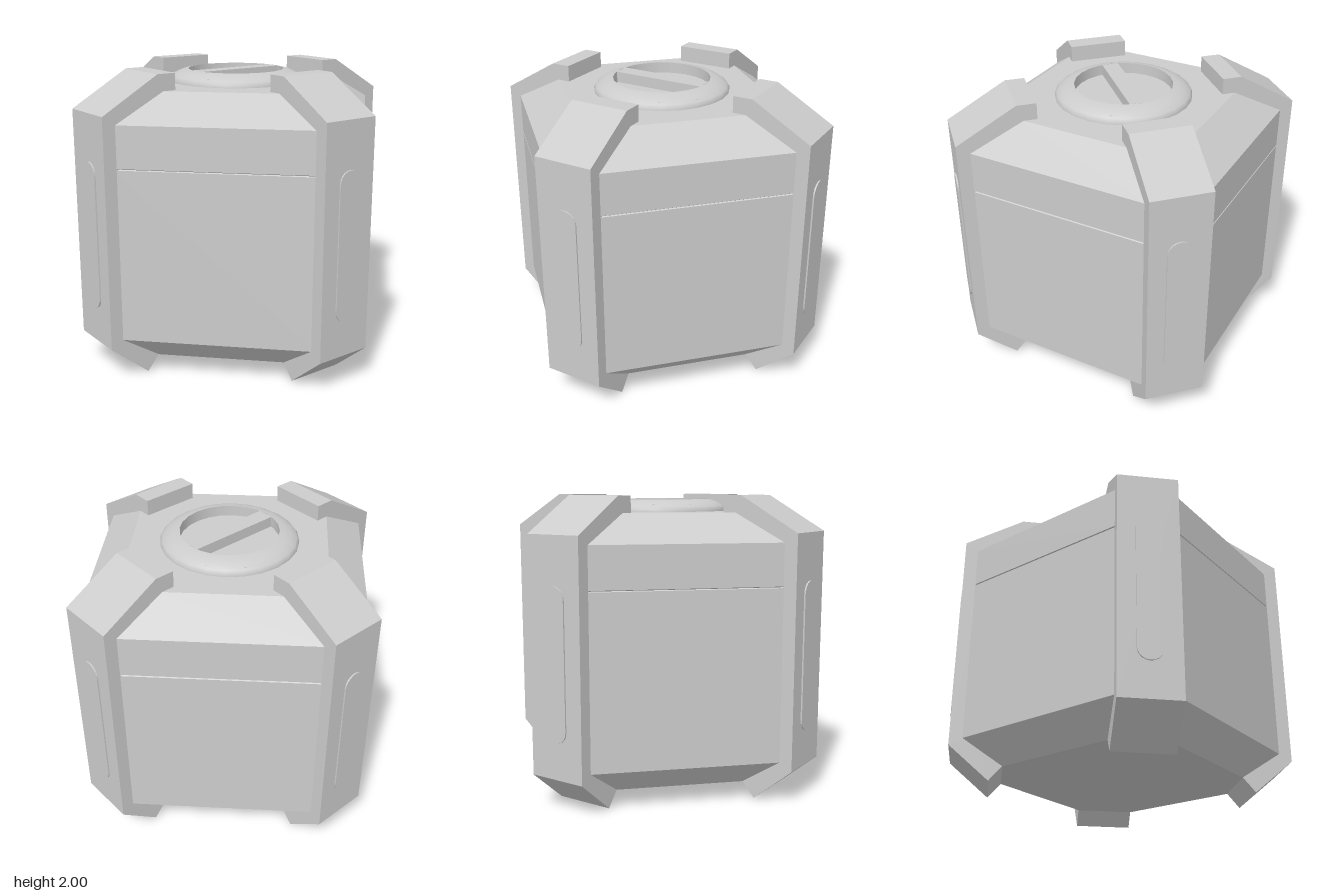
import * as THREE from 'three';

const grey = new THREE.MeshStandardMaterial({ color: 0xcccccc });
const flat = new THREE.MeshStandardMaterial({ color: 0xcccccc, flatShading: true });

function part(name, geometry, material = flat) {
  const mesh = new THREE.Mesh(geometry, material);
  mesh.name = name;
  return mesh;
}

// Square cross-section with cut corners, hidden under the corner braces
function ring(half, y) {
  const c = half - 0.25;
  return [[half, -c], [half, c], [c, half], [-c, half], [-half, c], [-half, -c], [-c, -half], [c, -half]]
    .map(([x, z]) => new THREE.Vector3(x, y, z));
}

function bodyGeometry() {
  // [half width, height] from the bottom to the top, with a fine lid seam
  const rings = [[0.71, 0.1], [0.9, 0.28], [0.9, 1.425], [0.892, 1.43], [0.9, 1.435], [0.9, 1.71], [0.65, 1.89]]
    .map(([half, y]) => ring(half, y));
  const points = [];
  for (let k = 0; k < rings.length - 1; k++) {
    for (let i = 0; i < 8; i++) {
      const j = (i + 1) % 8;
      const a = rings[k][i], b = rings[k][j], c = rings[k + 1][j], d = rings[k + 1][i];
      points.push(a, d, c, a, c, b);
    }
  }
  const bottom = rings[0], top = rings[rings.length - 1];
  for (let i = 1; i < 7; i++) {
    points.push(bottom[0], bottom[i], bottom[i + 1]);
    points.push(top[0], top[i + 1], top[i]);
  }
  const geometry = new THREE.BufferGeometry().setFromPoints(points);
  geometry.computeVertexNormals();
  return geometry;
}

// Brace outline: x is the distance from the centre axis along the diagonal
function braceGeometry() {
  const outline = [[0.63, 1.86], [0.63, 2], [0.76, 2], [1.16, 1.77], [1.16, 0.23],
    [0.89, 0], [0.79, 0.118], [1.0, 0.3], [1.0, 1.68], [0.72, 1.84]];
  const shape = new THREE.Shape(outline.map(([x, y]) => new THREE.Vector2(x, y)));
  return new THREE.ExtrudeGeometry(shape, { depth: 0.4, bevelEnabled: false }).translate(0, 0, -0.2);
}

// Long round-ended plate lying on the outer face of a brace
function plateGeometry() {
  const r = 0.082, shape = new THREE.Shape();
  shape.absarc(0, 1.46 - r, r, 0, Math.PI, false);
  shape.absarc(0, 0.47 + r, r, Math.PI, Math.PI * 2, false);
  return new THREE.ExtrudeGeometry(shape, { depth: 0.03, bevelEnabled: false, curveSegments: 5 })
    .rotateY(Math.PI / 2).translate(1.14, 0, 0);
}

function lathe(profile) {
  return new THREE.LatheGeometry(profile.map(([x, y]) => new THREE.Vector2(x, y)), 24);
}

export function createModel() {
  const model = new THREE.Group();
  model.name = 'crate';
  model.add(part('body', bodyGeometry()));

  // Four corner braces with plates
  const brace = braceGeometry(), plate = plateGeometry();
  for (let k = 0; k < 4; k++) {
    const corner = new THREE.Group();
    corner.name = 'cornerBrace';
    corner.add(part('brace', brace), part('bracePlate', plate));
    corner.rotation.y = Math.PI / 4 + k * Math.PI / 2;
    model.add(corner);
  }

  // Round cap: domed rim, sunken centre and diagonal grip
  const cap = new THREE.Group();
  cap.name = 'cap';
  cap.add(part('capRim', lathe([[0.46, 1.88], [0.46, 1.905], [0.445, 1.925], [0.41, 1.947], [0.37, 1.963], [0.33, 1.97]]), grey));
  cap.add(part('capRecessWall', lathe([[0.33, 1.97], [0.33, 1.897]]), grey));
  cap.add(part('capRecessFloor', new THREE.CircleGeometry(0.33, 24).rotateX(-Math.PI / 2).translate(0, 1.897, 0)));
  const grip = part('capGrip', new THREE.BoxGeometry(0.65, 0.075, 0.113));
  grip.position.y = 1.932;
  grip.rotation.y = Math.PI / 4;
  cap.add(grip);

  // Thin tabs around the rim
  const tab = new THREE.BoxGeometry(0.26, 0.01, 0.04).translate(0, 1.932, 0.39);
  for (let k = 0; k < 4; k++) {
    const mesh = part('capTab', tab);
    mesh.rotation.y = k * Math.PI / 2;
    cap.add(mesh);
  }
  model.add(cap);
  return model;
}
